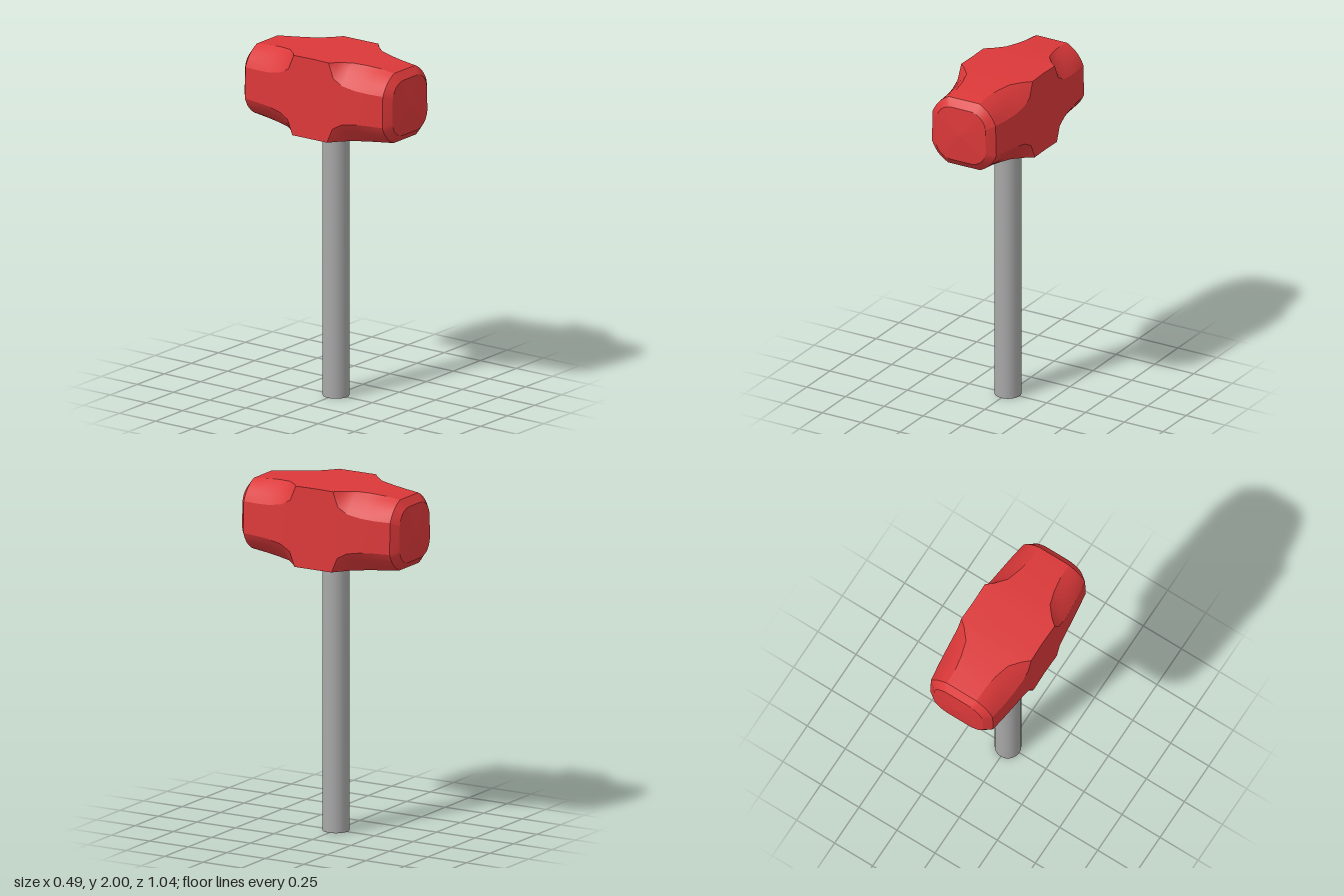
import * as THREE from 'three';

const CENTER_Y = 1.77;

// Head cross-sections, front half: z, half width w, half height h,
// half widths of the top flat (f) and side flat (g), bulge b of the corner cut
const section = (z, w, h, f, g, b) => ({ z, w, h, f, g, b });
const body = [
  section(0.12, 0.237, 0.229, 0.237, 0.229, 0),
  section(0.155, 0.237, 0.228, 0.195, 0.145, 0),
  section(0.215, 0.235, 0.225, 0.143, 0.112, 0.002),
  section(0.3, 0.228, 0.219, 0.117, 0.097, 0.005),
  section(0.38, 0.219, 0.212, 0.103, 0.092, 0.008),
  section(0.475, 0.205, 0.201, 0.1, 0.09, 0.011),
];
const rim = section(0.511, 0.16, 0.159, 0.07, 0.07, 0.016);
const centre = section(0.522, 0, 0, 0, 0, 0);
const flip = (s) => ({ ...s, z: -s.z });
const backwards = (list) => list.map(flip).reverse();

// Points of one cut corner, anticlockwise seen from +z
function corner(s, q) {
  const sx = q === 0 || q === 3 ? 1 : -1;
  const sy = q < 2 ? 1 : -1;
  const points = [];
  for (let i = 0; i <= 6; i++) {
    const t = i / 6;
    const out = s.b * 4 * t * (1 - t);
    const y = sy * (s.g + (s.h - s.g) * t + out);
    // The head is slightly wider at the bottom
    const x = sx * (s.w + (s.f - s.w) * t + out) * (1 - 0.13 * y);
    points.push(new THREE.Vector3(x, CENTER_Y + y, s.z));
  }
  return q % 2 ? points.reverse() : points;
}

function flat(s, q) {
  return [corner(s, q)[6], corner(s, (q + 1) % 4)[0]];
}

function ring(s) {
  const points = [0, 1, 2, 3].flatMap((q) => corner(s, q));
  return [...points, points[0].clone()];
}

// Smooth skin over rows of points, rows ordered by rising z
function skin(rows) {
  const n = rows[0].length;
  const index = [];
  for (let i = 0; i < rows.length - 1; i++) {
    for (let j = 0; j < n - 1; j++) {
      const a = i * n + j;
      index.push(a, a + 1, a + n, a + 1, a + n + 1, a + n);
    }
  }
  const geometry = new THREE.BufferGeometry().setFromPoints(rows.flat());
  geometry.setIndex(index);
  geometry.computeVertexNormals();
  return geometry;
}

export function createModel() {
  const red = new THREE.MeshStandardMaterial({ color: 0xdb3839 });
  red.name = 'red paint';
  const grey = new THREE.MeshStandardMaterial({ color: 0xa8a8a8 });
  grey.name = 'grey handle';

  const model = new THREE.Group();
  model.name = 'sledgehammer';
  const head = new THREE.Group();
  head.name = 'head';
  model.add(head);
  const add = (parent, name, geometry, material) => {
    const mesh = new THREE.Mesh(geometry, material);
    mesh.name = name;
    parent.add(mesh);
    return mesh;
  };

  // Long flats: top, side, bottom, side
  const middle = section(0, 0.234, 0.23, 0.234, 0.23, 0);
  const whole = [...backwards(body), middle, ...body];
  ['topFace', 'rightFace', 'bottomFace', 'leftFace'].forEach((name, q) => {
    add(head, name, skin(whole.map((s) => flat(s, q))), red);
  });

  // Scooped corners, bevels and slightly domed striking faces at both ends
  for (const end of ['front', 'back']) {
    const order = (list) => (end === 'front' ? list : backwards(list));
    for (let q = 0; q < 4; q++) {
      add(head, end + 'Corner' + (q + 1), skin(order(body).map((s) => corner(s, q))), red);
    }
    add(head, end + 'Bevel', skin(order([body[body.length - 1], rim]).map(ring)), red);
    add(head, end + 'StrikingFace', skin(order([rim, centre]).map(ring)), red);
  }

  // Straight round handle
  const handle = add(model, 'handle', new THREE.CylinderGeometry(0.074, 0.074, 1.6, 32), grey);
  handle.position.y = 0.8;

  return model;
}
